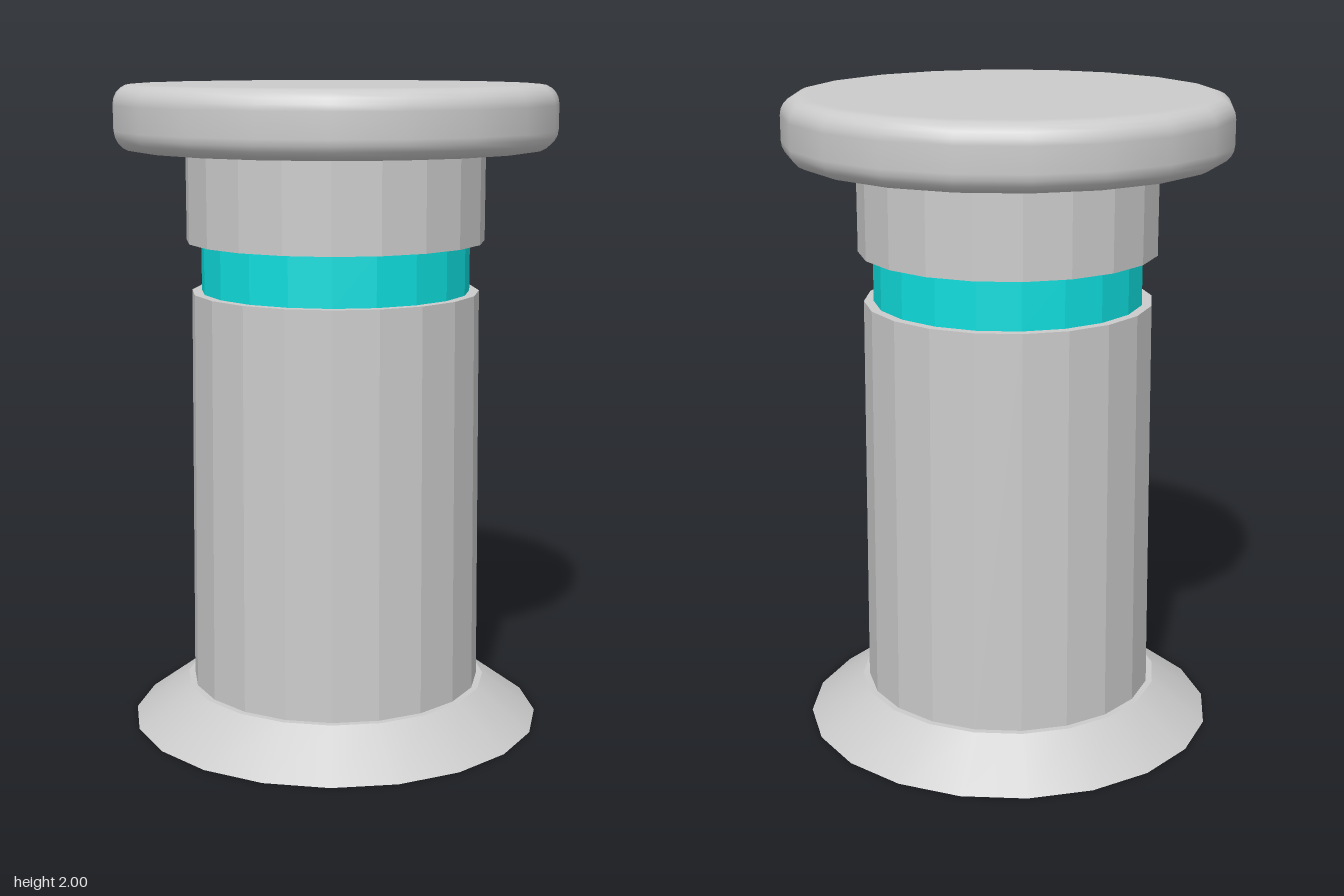
import * as THREE from 'three';

const SIDES = 20;

export function createModel() {
  const model = new THREE.Group();

  // Adds a tapered drum standing between two heights
  function addDrum(name, rBottom, rTop, y0, y1, flatShading = true, color = 0xcccccc) {
    const geometry = new THREE.CylinderGeometry(rTop, rBottom, y1 - y0, SIDES);
    const mesh = new THREE.Mesh(geometry, new THREE.MeshStandardMaterial({ color, flatShading }));
    mesh.name = name;
    mesh.position.y = (y0 + y1) / 2;
    model.add(mesh);
  }

  addDrum('flaredBase', 0.645, 0.475, 0, 0.125, false);
  addDrum('shaft', 0.455, 0.445, 0.125, 1.37);
  addDrum('colouredBand', 0.415, 0.415, 1.37, 1.525, true, 0x0fdede);
  addDrum('neck', 0.46, 0.46, 1.525, 1.805);

  // Round cap with a softened rim, turned from a profile
  const R = 0.68, bottom = 1.805, top = 2, round = 0.06, steps = 5;
  const profile = [new THREE.Vector2(0, bottom), new THREE.Vector2(R - round - 0.02, bottom)];
  for (const [cy, start] of [[bottom + round, -Math.PI / 2], [top - round, 0]]) {
    for (let i = 0; i <= steps; i++) {
      const a = start + (i / steps) * Math.PI / 2;
      profile.push(new THREE.Vector2(R - round + round * Math.cos(a), cy + round * Math.sin(a)));
    }
  }
  profile.push(new THREE.Vector2(R - round - 0.02, top), new THREE.Vector2(0, top));
  const cap = new THREE.Mesh(
    new THREE.LatheGeometry(profile, SIDES),
    new THREE.MeshStandardMaterial({ color: 0xcccccc })
  );
  cap.name = 'roundedCap';
  model.add(cap);

  return model;
}
